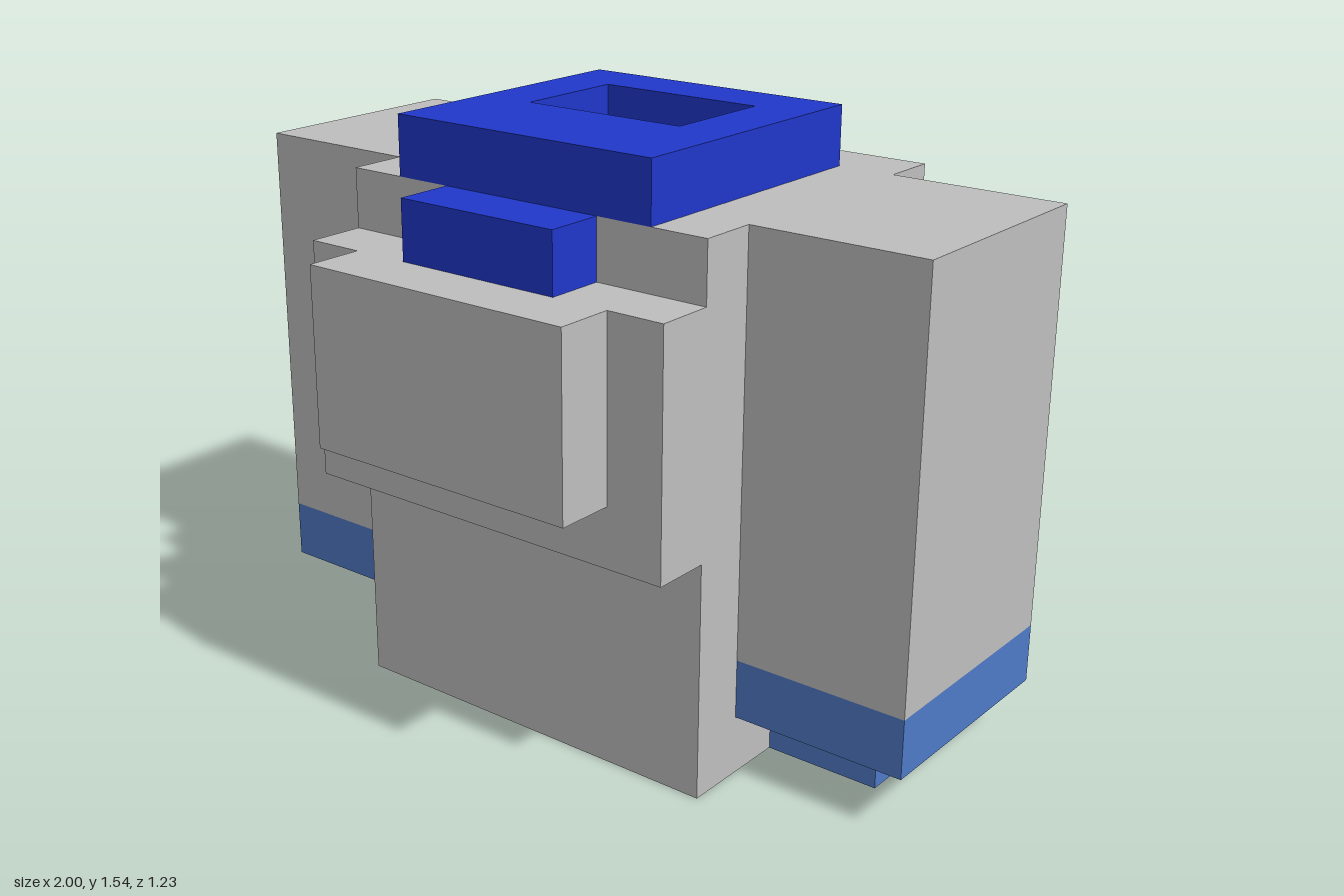
import * as THREE from 'three';

// All sizes below are in blocks; the model is 26 blocks wide.
const U = 1 / 13;

function material(name, color) {
  const m = new THREE.MeshStandardMaterial({ color });
  m.name = name;
  return m;
}

// Box given by its min and max corner in blocks
function block(name, mat, [x0, y0, z0], [x1, y1, z1]) {
  const geo = new THREE.BoxGeometry((x1 - x0) * U, (y1 - y0) * U, (z1 - z0) * U);
  const mesh = new THREE.Mesh(geo, mat);
  mesh.position.set((x0 + x1) * U / 2, (y0 + y1) * U / 2, (z0 + z1) * U / 2);
  mesh.name = name;
  return mesh;
}

// Rectangle outline in blocks
function rectangle(PathType, x0, y0, x1, y1) {
  return new PathType([[x0, y0], [x1, y0], [x1, y1], [x0, y1]]
    .map(([x, y]) => new THREE.Vector2(x * U, y * U)));
}

export function createModel() {
  const grey = material('grey cloth', 0xc0c0c0);
  const darkBlue = material('dark blue', 0x2038cc);
  const lightBlue = material('light blue', 0x507bca);

  const model = new THREE.Group();
  model.name = 'blockTorso';

  // Torso with stepped chest
  model.add(
    block('torso', grey, [-7, 0, -8], [7, 18, 4]),
    block('chest', grey, [-7, 8, 4], [7, 16, 6]),
    block('chestPanel', grey, [-5, 10, 6], [5, 16, 8]),
    block('collarFront', darkBlue, [-3, 16, 4], [3, 18, 6]),
  );

  // Square collar ring around the neck opening
  const ring = rectangle(THREE.Shape, -5, -4, 5, 6);
  ring.holes.push(rectangle(THREE.Path, -3, 0, 3, 4));
  const collarGeo = new THREE.ExtrudeGeometry(ring, { depth: 2 * U, bevelEnabled: false });
  collarGeo.rotateX(-Math.PI / 2);
  const collar = new THREE.Mesh(collarGeo, darkBlue);
  collar.position.y = 18 * U;
  collar.name = 'collar';
  model.add(collar);

  // Arms: sleeve, cuff and hand on each side
  for (const [side, s] of [['left', 1], ['right', -1]]) {
    const arm = new THREE.Group();
    arm.name = side + 'Arm';
    const part = (name, mat, inner, outer, y0, y1, z0, z1) => arm.add(block(name, mat,
      [Math.min(s * inner, s * outer), y0, z0], [Math.max(s * inner, s * outer), y1, z1]));
    part('sleeve', grey, 7, 13, 4, 18, -6, 2);
    part('cuff', lightBlue, 7, 13, 2, 4, -6, 2);
    part('hand', lightBlue, 7, 11, 0, 2, -4, 0);
    model.add(arm);
  }
  return model;
}
